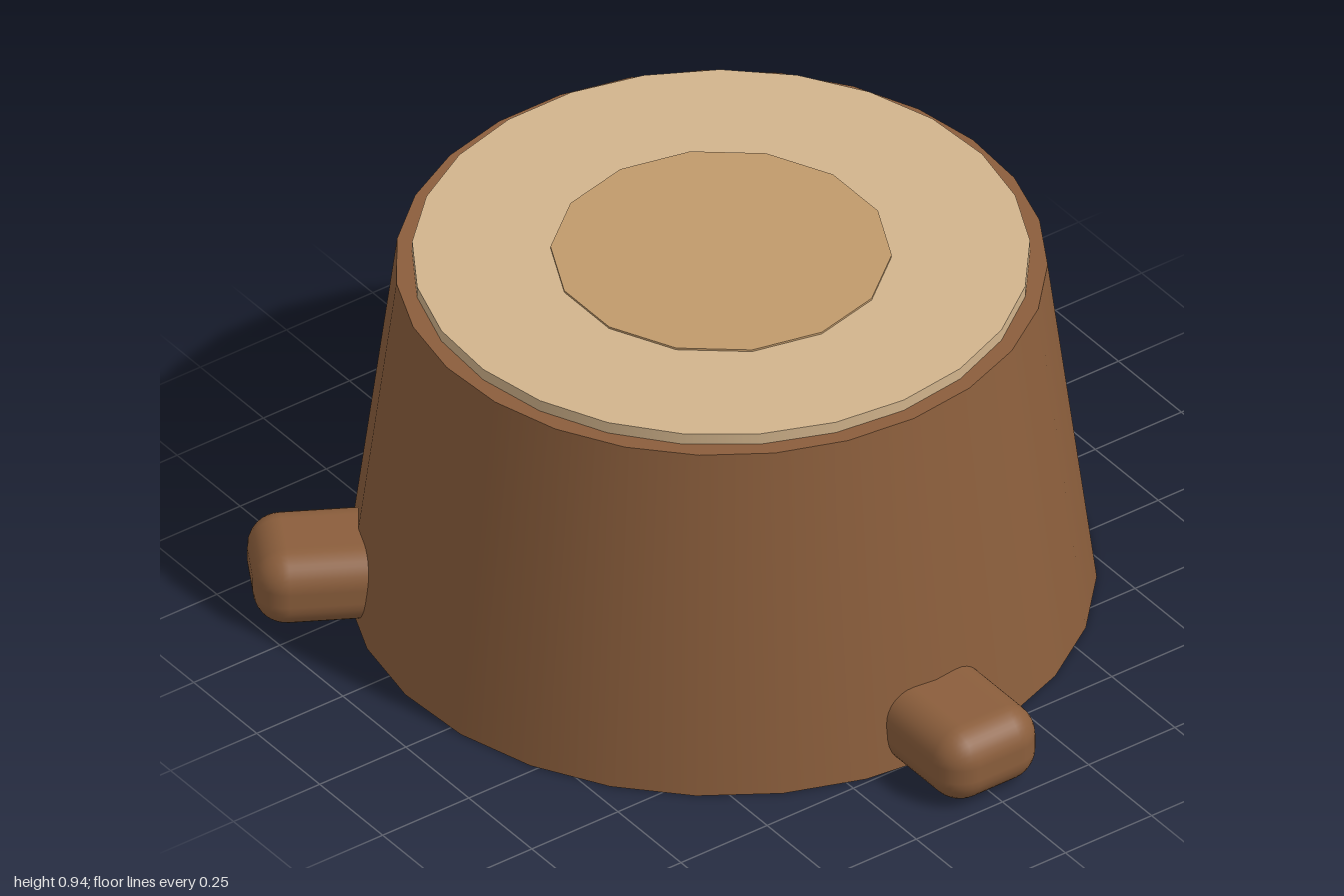
import * as THREE from 'three';
import { RoundedBoxGeometry } from 'three/addons/geometries/RoundedBoxGeometry.js';

export function createModel() {
  const stump = new THREE.Group();
  stump.name = 'treeStump';
  const centreZ = -0.117;

  const bark = new THREE.MeshStandardMaterial({ color: 0x8b5e3c });
  const wood = new THREE.MeshStandardMaterial({ color: 0xd2b48c });
  const heart = new THREE.MeshStandardMaterial({ color: 0xc19a6b });

  // Upright round section between two heights
  function addRound(name, topRadius, bottomRadius, y0, y1, sides, material) {
    const geometry = new THREE.CylinderGeometry(topRadius, bottomRadius, y1 - y0, sides);
    const mesh = new THREE.Mesh(geometry, material);
    mesh.name = name;
    mesh.position.set(0, (y0 + y1) / 2, centreZ);
    stump.add(mesh);
  }

  // Tapered trunk, pale cut face and darker heartwood
  addRound('trunk', 0.765, 0.88, 0, 0.905, 27, bark);
  addRound('cutFace', 0.725, 0.725, 0.895, 0.935, 25, wood);
  addRound('heartwood', 0.4, 0.4, 0.92, 0.94, 14, heart);

  // Three stubby rounded roots spaced evenly around the base
  const rootLength = 0.45, rootTip = 1.11;
  for (let i = 0; i < 3; i++) {
    const angle = (i * Math.PI * 2) / 3;
    const reach = rootTip - rootLength / 2;
    const root = new THREE.Mesh(new RoundedBoxGeometry(0.28, 0.197, rootLength, 4, 0.08), bark);
    root.name = ['frontRoot', 'backLeftRoot', 'backRightRoot'][i];
    root.position.set(Math.sin(angle) * reach, 0.1015, centreZ + Math.cos(angle) * reach);
    root.rotation.y = angle;
    stump.add(root);
  }

  return stump;
}
